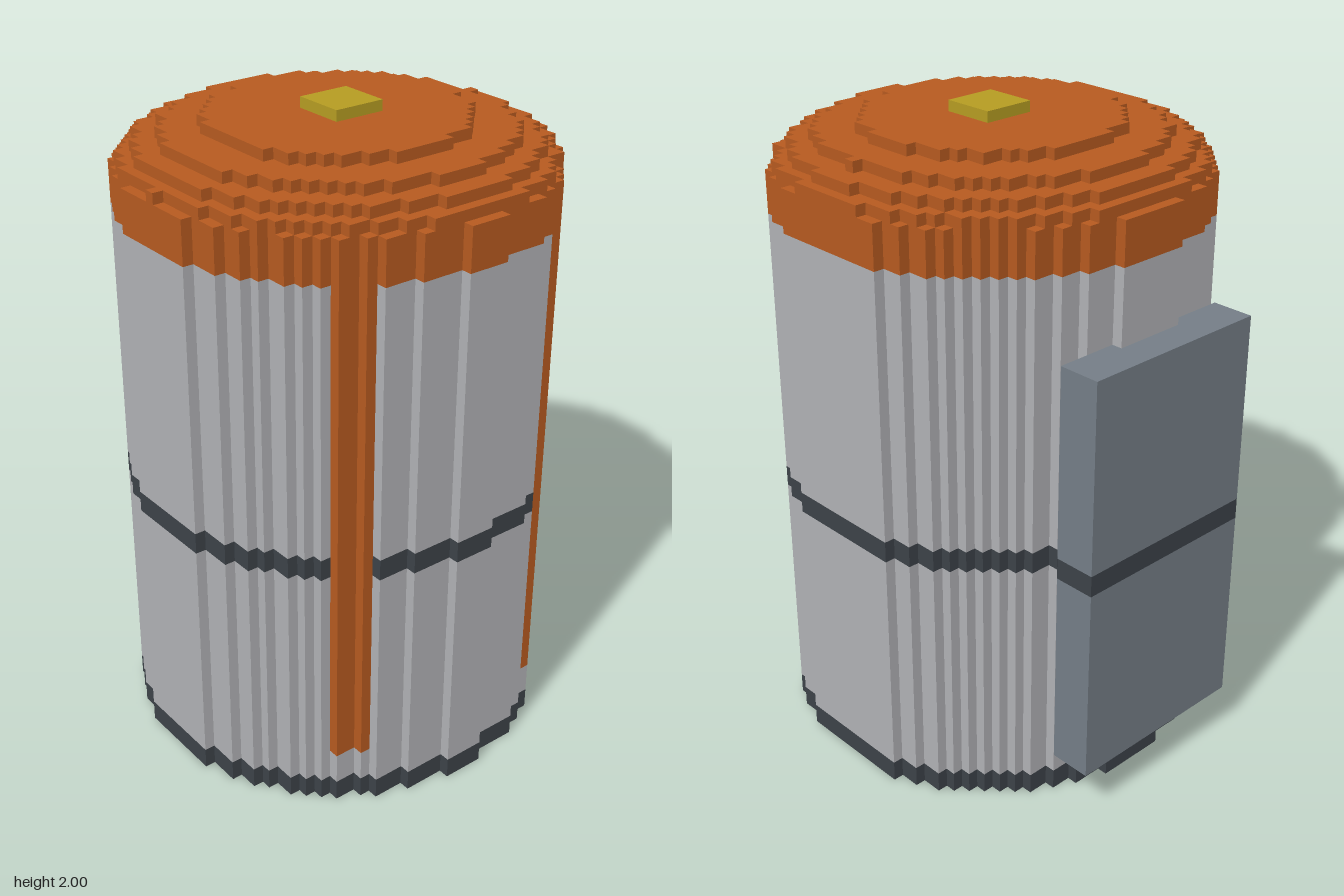
import * as THREE from 'three';

const U = 1 / 30;             // edge of one block
const OX = -21, OZ = -19;     // grid origin, in blocks
const CX = 22.39, CZ = 18.8;  // axis of the tank, in blocks

const mat = (name, color) => {
  const m = new THREE.MeshStandardMaterial({ color });
  m.name = name;
  return m;
};

// Block rows [z, x0, x1] of a disc: every block whose centre lies inside
function discRows(radius) {
  const rows = [];
  for (let z = 0; z < 38; z++) {
    const h2 = radius * radius - (z + 0.5 - CZ) ** 2;
    if (h2 < 0) continue;
    const h = Math.sqrt(h2);
    const x0 = Math.ceil(CX - h - 0.5), x1 = Math.floor(CX + h - 0.5) + 1;
    if (x1 > x0) rows.push([z, x0, x1]);
  }
  return rows;
}

// Stepped outline around the rows, extruded from height y0 to y1
function slab(rows, y0, y1) {
  const right = [], left = [];
  rows.forEach(([z, x0, x1], i) => {
    const prev = rows[i - 1], next = rows[i + 1];
    if (!prev || prev[2] !== x1) right.push([x1, z]);
    if (!next || next[2] !== x1) right.push([x1, z + 1]);
    if (!prev || prev[1] !== x0) left.push([x0, z]);
    if (!next || next[1] !== x0) left.push([x0, z + 1]);
  });
  const pts = [...right, ...left.reverse()]
    .map(([x, z]) => new THREE.Vector2((x + OX) * U, -(z + OZ) * U));
  const geo = new THREE.ExtrudeGeometry(new THREE.Shape(pts), {
    depth: (y1 - y0) * U, bevelEnabled: false,
  });
  return geo.rotateX(-Math.PI / 2).translate(0, y0 * U, 0);
}

// Box between two grid corners
function block(x0, x1, y0, y1, z0, z1) {
  return new THREE.BoxGeometry((x1 - x0) * U, (y1 - y0) * U, (z1 - z0) * U)
    .translate(((x0 + x1) / 2 + OX) * U, ((y0 + y1) / 2) * U, ((z0 + z1) / 2 + OZ) * U);
}

export function createModel() {
  const group = new THREE.Group();
  group.name = 'storageTank';
  const grey = mat('light grey', 0xb0b1b4);
  const dark = mat('dark grey', 0x3c4248);
  const orange = mat('rust orange', 0xb65a20);
  const slate = mat('slate', 0x747d86);
  const yellow = mat('mustard', 0xb59c22);
  const add = (name, geo, material) => {
    const mesh = new THREE.Mesh(geo, material);
    mesh.name = name;
    group.add(mesh);
  };

  // Round wall, and the same wall with two slots for the strips
  const full = discRows(19.23);
  const inStrip = (z) => (z >= 7 && z <= 9) || (z >= 28 && z <= 30);
  const slotted = full.map(([z, a, b]) => [z, a, inStrip(z) ? Math.min(b, 37) : b]);

  add('base', slab(full, 0, 2), dark);
  add('wallFoot', slab(full, 2, 5), grey);
  add('lowerWall', slab(slotted, 5, 24), grey);
  add('wallBand', slab(slotted, 24, 26), dark);
  add('upperWall', slab(slotted, 26, 51), grey);

  // Vertical strips set flush into the slots
  for (const [name, first] of [['backStrip', 7], ['frontStrip', 28]]) {
    const rows = full.filter(([z]) => z >= first && z < first + 3)
      .map(([z, , b]) => [z, 37, b]);
    add(name, slab(rows, 5, 51), orange);
  }

  // Stepped dome and its cap
  add('roofRim', slab(full, 51, 55), orange);
  [18.715, 17.44, 15.31, 11.5].forEach((r, i) =>
    add(`roofStep${i + 1}`, slab(discRows(r), 55 + i, 56 + i), orange));
  add('roofCap', block(20, 25, 59, 60, 16, 21), yellow);

  // Side panel, crossed by the band
  add('panelLower', block(0, 4, 5, 24, 9, 28), slate);
  add('panelBand', block(0, 4, 24, 26, 9, 28), dark);
  add('panelUpper', block(0, 4, 26, 44, 9, 28), slate);

  return group;
}
